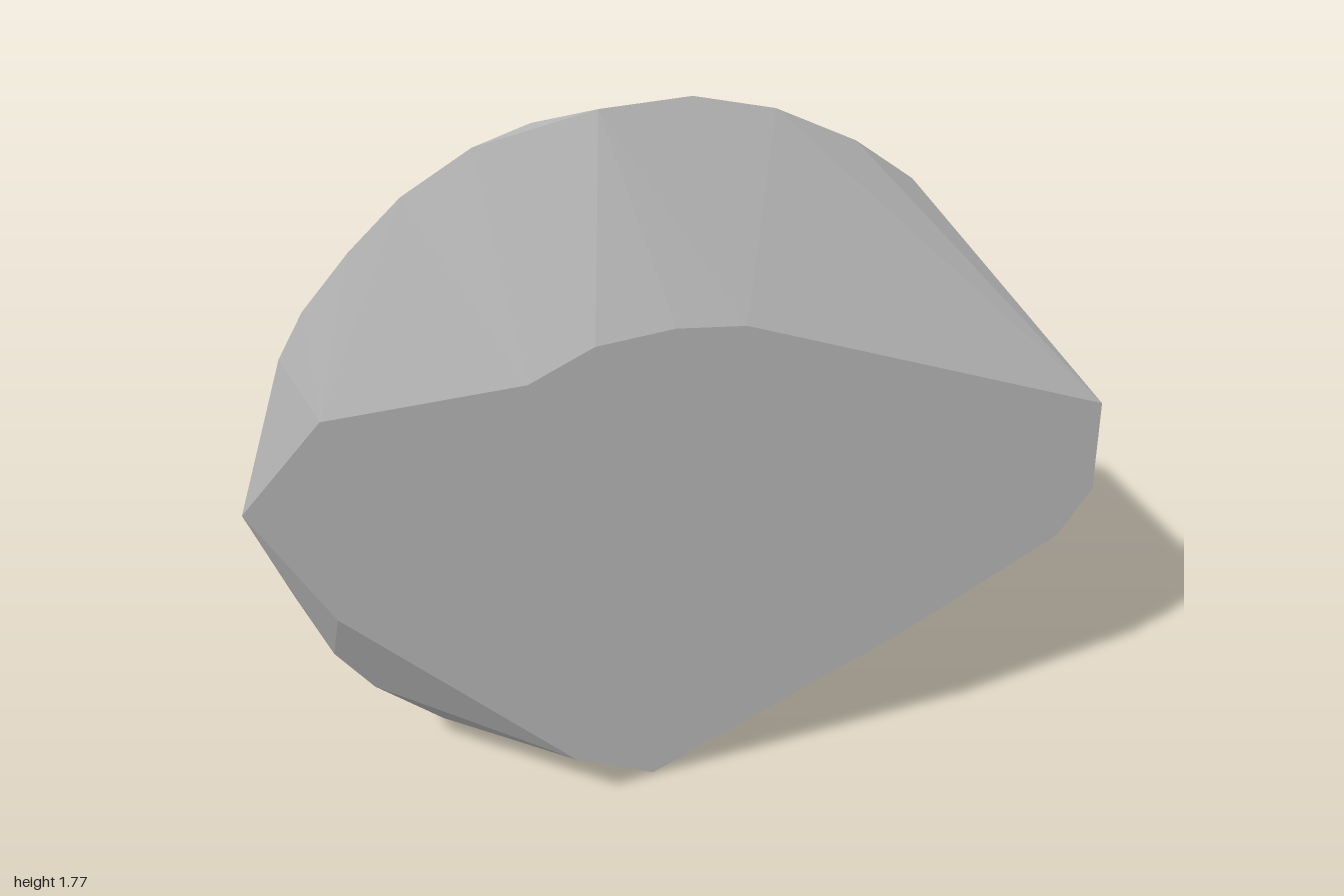
import * as THREE from 'three';
import { ConvexGeometry } from 'three/addons/geometries/ConvexGeometry.js';

// Corner rings of the faceted stone: [x, y] pairs at one depth, or [x, y, z]
const rim = [
  [-0.88, 1.25], [-0.82, 1.36], [-0.71, 1.49], [-0.59, 1.605], [-0.43, 1.7], [-0.3, 1.74],
  [-0.16, 1.77, 0], [0.06, 1.755], [0.25, 1.7], [0.44, 1.595], [0.58, 1.48],
  [0.59, 0.32], [0.42, 0.175], [0.3, 0.1], [0.17, 0.055], [0, 0.015],
  [-0.08, 0, 0.12], [-0.23, 0.01], [-0.38, 0.07], [-0.57, 0.165], [-0.73, 0.3],
  [-0.82, 0.42], [-0.9, 0.61], [-0.92, 0.72, -0.06], [-1, 0.88, 0], [-0.92, 1.03, -0.06],
];
const frontFace = [
  [-0.39, 1.27], [-0.24, 1.34], [-0.06, 1.355], [0.1, 1.335], [0.97, 0.98], [0.97, 0.74],
  [0.89, 0.62], [0.51, 0.41], [-0.1, 0.4], [-0.43, 0.54],
  [-0.3, 0.185, 0.23], [-0.82, 0.62, 0.1], [-0.82, 1.16, 0.1],
];
const backFace = [
  [0.2, 1.26], [-0.19, 1.31], [-0.41, 1.135], [-0.54, 0.873], [-0.275, 0.465],
  [0.05, 0.485], [0.25, 0.63], [0.37, 0.775], [0.365, 0.9],
];
// Narrow end on the model's left
const tip = [[1, 0.88, 0], [0.91, 0.88, -0.205]];

const ring = (points, depth) => points.map(([x, y, z = depth]) => new THREE.Vector3(x, y, z));

export function createModel() {
  const group = new THREE.Group();
  group.name = 'stone';
  const stoneGrey = new THREE.MeshStandardMaterial({ color: 0xb0b0b0 });
  stoneGrey.name = 'stoneGrey';

  const geometry = new ConvexGeometry([
    ...ring(rim, -0.035), ...ring(frontFace, 0.25), ...ring(backFace, -0.25), ...ring(tip, 0),
  ]);

  // Blend the shallow front facets into one even face; all others stay flat
  const normals = geometry.attributes.normal;
  for (let i = 0; i < normals.count; i++) {
    if (normals.getZ(i) > 0.87) normals.setXYZ(i, 0, 0, 1);
  }

  const body = new THREE.Mesh(geometry, stoneGrey);
  body.name = 'stoneBody';
  group.add(body);
  return group;
}
